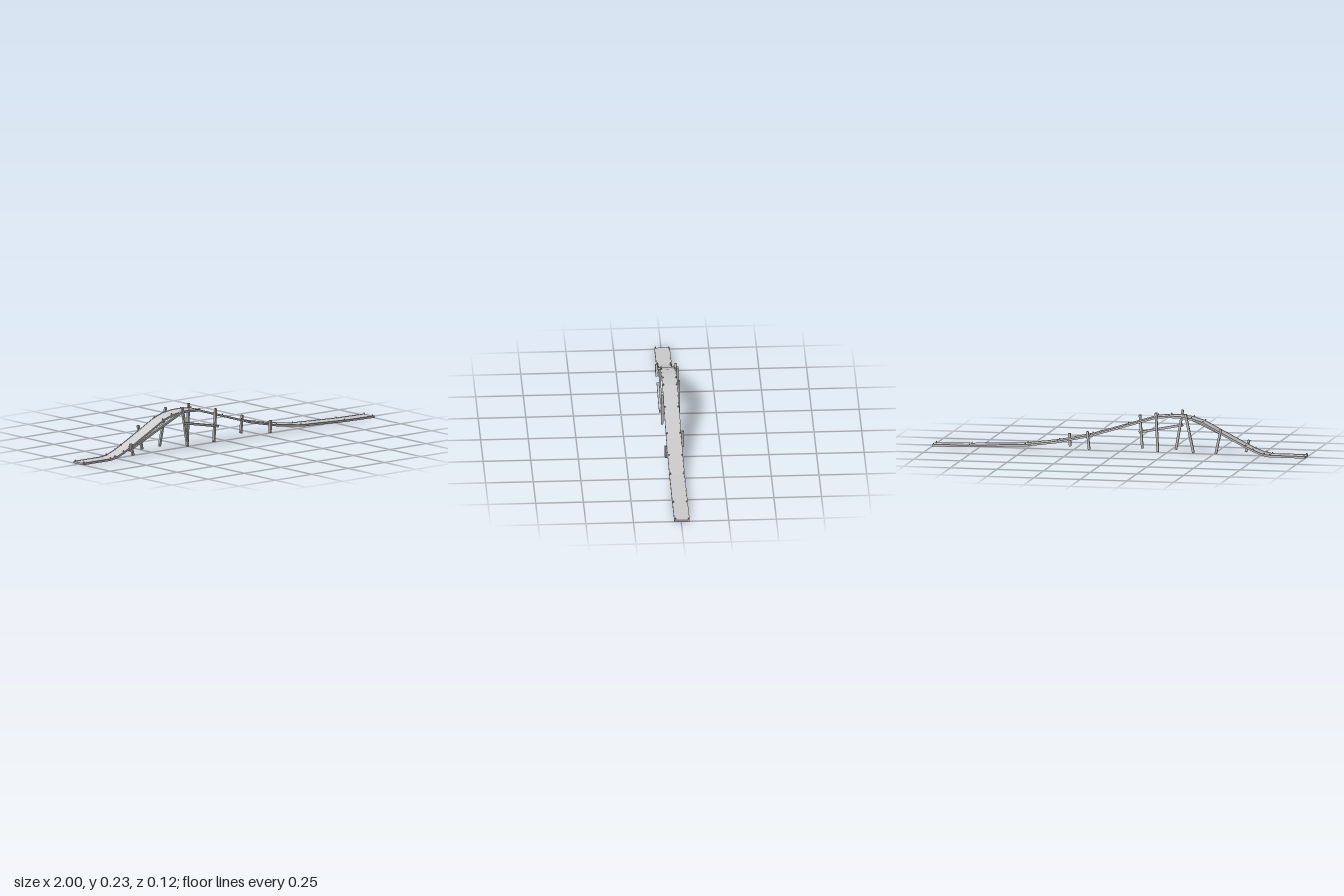
import * as THREE from 'three';

const material = new THREE.MeshStandardMaterial({ color: 0xcccccc, flatShading: true, side: THREE.DoubleSide });
const BACK = -0.045, FRONT = 0.036; // edges of the walkway in z

// Top line of the walkway, left end to right end
const profile = [
  [-1, 0.011], [-0.81, 0.011], [-0.77, 0.018], [-0.72, 0.037], [-0.66, 0.066], [-0.55, 0.122],
  [-0.45, 0.174], [-0.39, 0.193], [-0.32, 0.202], [-0.26, 0.202], [-0.2, 0.196], [-0.04, 0.147],
  [0.15, 0.089], [0.33, 0.05], [0.5, 0.027], [0.8, 0.014], [1, 0.011],
].map(([x, y]) => new THREE.Vector2(x, y));
const line = profile;

// Point at x on the top line, with the slope angle there
function surfaceAt(x) {
  let i = 0;
  while (i < line.length - 2 && line[i + 1].x < x) i++;
  const a = line[i], b = line[i + 1];
  const t = (x - a.x) / (b.x - a.x);
  return { y: a.y + (b.y - a.y) * t, angle: Math.atan2(b.y - a.y, b.x - a.x) };
}

// Strip following the top line, between two vertical offsets and two z values
function strip(name, low, high, z0, z1) {
  const upper = line.map((p) => new THREE.Vector2(p.x, p.y + high));
  const lower = line.map((p) => new THREE.Vector2(p.x, p.y + low)).reverse();
  const geometry = new THREE.ExtrudeGeometry(new THREE.Shape([...lower, ...upper]), {
    depth: z1 - z0, bevelEnabled: false,
  });
  geometry.translate(0, 0, z0);
  const mesh = new THREE.Mesh(geometry, material);
  mesh.name = name;
  return mesh;
}

// Square timber between two points
function timber(name, from, to, size = 0.012) {
  const a = new THREE.Vector3(...from), b = new THREE.Vector3(...to);
  const mesh = new THREE.Mesh(new THREE.BoxGeometry(size, a.distanceTo(b), size), material);
  mesh.position.copy(a).add(b).multiplyScalar(0.5);
  mesh.quaternion.setFromUnitVectors(new THREE.Vector3(0, 1, 0), b.sub(a).normalize());
  mesh.name = name;
  return mesh;
}

export function createModel() {
  const group = new THREE.Group();
  group.name = 'raisedWalkway';

  // Plank deck with thin raised edges
  group.add(strip('deck', -0.011, -0.002, BACK, FRONT));
  group.add(strip('frontEdge', -0.002, 0, FRONT - 0.004, FRONT));
  group.add(strip('backEdge', -0.002, 0, BACK, BACK + 0.004));

  // Pairs of pegs along both edges
  const pegs = new THREE.Group();
  pegs.name = 'pegs';
  const pegGeometry = new THREE.CylinderGeometry(0.003, 0.003, 0.012, 8);
  for (const x of [-0.994, -0.81, -0.78, -0.72, -0.68, -0.45, -0.39, -0.27, -0.2,
    -0.04, 0.15, 0.33, 0.5, 0.8, 0.992]) {
    const { y, angle } = surfaceAt(x);
    for (const z of [FRONT - 0.006, BACK + 0.006]) {
      const peg = new THREE.Mesh(pegGeometry, material);
      peg.name = 'peg';
      peg.position.set(x, y, z);
      peg.rotation.z = angle;
      pegs.add(peg);
    }
  }
  group.add(pegs);

  // Leaning posts: top x, top y, bottom x
  const posts = {
    frontPost: [0.042, [[-0.682, 0.075, -0.665], [-0.327, 0.224, -0.29], [-0.097, 0.19, -0.11], [0.281, 0.08, 0.277]]],
    backPost: [-0.052, [[-0.551, 0.143, -0.524], [-0.361, 0.216, -0.404], [-0.203, 0.218, -0.213], [0.165, 0.108, 0.155]]],
  };
  for (const [name, [z, list]] of Object.entries(posts)) {
    for (const [topX, topY, footX] of list) group.add(timber(name, [footX, 0.012, z], [topX, topY, z]));
  }

  // Diagonal brace under the climb and the rail joining two front posts
  group.add(timber('diagonalBrace', [-0.685, 0.038, 0.031], [-0.325, 0.199, 0.037]));
  group.add(timber('crossRail', [-0.325, 0.142, 0.053], [-0.09, 0.096, 0.053]));
  return group;
}
